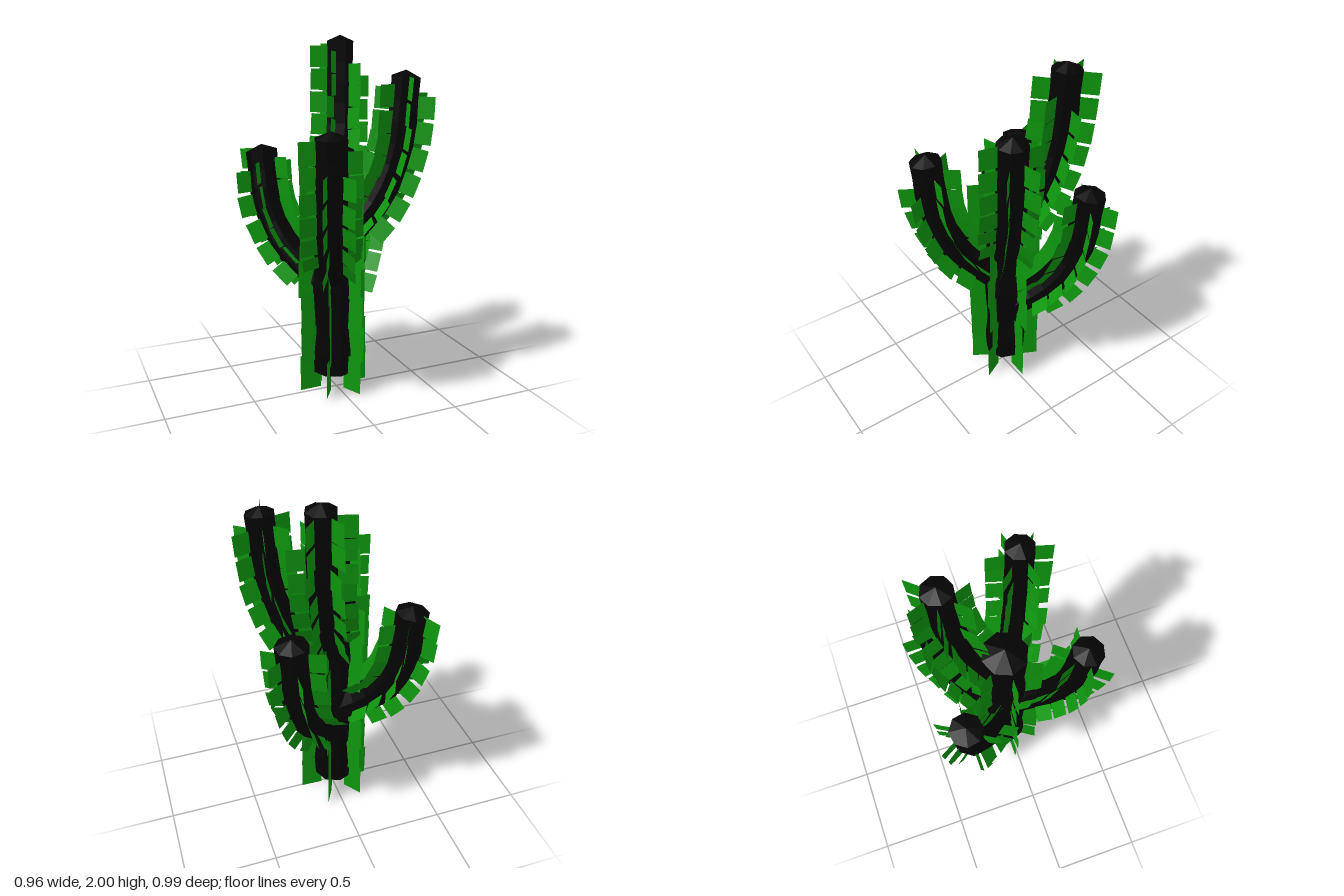
import * as THREE from 'three';
import { mergeGeometries } from 'three/addons/utils/BufferGeometryUtils.js';

const SIDES = 8, RIBS = 6;
const BASE = new THREE.Vector3(-0.01, 0, -0.02);
const UP = new THREE.Vector3(0, 1, 0);

const bodyMat = new THREE.MeshStandardMaterial({ color: 0x030403, flatShading: true });
const spineMat = new THREE.MeshStandardMaterial({ color: 0x0e960e, side: THREE.DoubleSide });

let seed = 7;
function jitter(a) {
  seed = (seed * 16807) % 2147483647;
  return (seed / 2147483647 - 0.5) * 2 * a;
}

// Frame of a stalk that bends within the vertical plane of direction d
function frameAt(curve, u, d, s) {
  const p = curve.getPointAt(u), t = curve.getTangentAt(u);
  const n = d.clone().multiplyScalar(t.dot(UP)).addScaledVector(UP, -t.dot(d)).normalize();
  const around = a => n.clone().multiplyScalar(Math.cos(a)).addScaledVector(s, Math.sin(a));
  return { p, t, around };
}

// Faceted stem with a low pointed cap and a closed bottom
function stemGeometry(curve, d, s, o) {
  const pos = [], idx = [];
  for (let i = 0; i <= o.rings; i++) {
    const f = frameAt(curve, i / o.rings, d, s);
    const r = o.radius * (1 + o.lump * Math.sin(i * 2.1));
    for (let k = 0; k < SIDES; k++) {
      const v = f.around((k / SIDES) * Math.PI * 2 + o.offset).multiplyScalar(r).add(f.p);
      pos.push(v.x, v.y, v.z);
    }
  }
  for (let i = 0; i < o.rings; i++) {
    for (let k = 0; k < SIDES; k++) {
      const a = i * SIDES + k, b = i * SIDES + (k + 1) % SIDES;
      idx.push(a, a + SIDES, b, b, a + SIDES, b + SIDES);
    }
  }
  const start = curve.getPointAt(0), end = curve.getPointAt(1);
  const bottom = pos.length / 3, tip = bottom + 1, last = o.rings * SIDES;
  pos.push(start.x, start.y, start.z, end.x, end.y + o.cap, end.z);
  for (let k = 0; k < SIDES; k++) {
    const k2 = (k + 1) % SIDES;
    idx.push(bottom, k, k2, tip, last + k2, last + k);
  }
  const g = new THREE.BufferGeometry();
  g.setAttribute('position', new THREE.Float32BufferAttribute(pos, 3));
  g.setIndex(idx);
  g.computeVertexNormals();
  return g;
}

// Rows of flat spine panels standing out from the ribs, each row starting
// its own gap below the tip and running down to the low mark
function spineGeometry(curve, d, s, o) {
  const length = curve.getLength(), panels = [];
  for (let k = 0; k < RIBS; k++) {
    const a = (k / RIBS) * Math.PI * 2 + o.offset;
    for (let at = length - o.gaps[k]; at >= o.low; at -= o.step) {
      const here = Math.max(at + jitter(0.006), 0.005);
      const f = frameAt(curve, here / length, d, s);
      const out = f.around(a + jitter(0.08));
      const side = new THREE.Vector3().crossVectors(out, f.t);
      const m = new THREE.Matrix4().makeBasis(out, f.t, side);
      m.setPosition(f.p.clone().addScaledVector(out, (o.inner + o.outer) / 2 + jitter(0.004)));
      const g = new THREE.PlaneGeometry(o.outer - o.inner, o.height);
      g.rotateZ(jitter(0.03)).applyMatrix4(m);
      panels.push(g);
    }
  }
  return mergeGeometries(panels);
}

function stalk(name, curve, d, o) {
  const s = new THREE.Vector3(-d.z, 0, d.x);
  const group = new THREE.Group();
  group.name = name;
  const stem = new THREE.Mesh(stemGeometry(curve, d, s, o), bodyMat);
  stem.name = name + 'Stem';
  const spines = new THREE.Mesh(spineGeometry(curve, d, s, o), spineMat);
  spines.name = name + 'Spines';
  group.add(stem, spines);
  return group;
}

// Arm that leaves the trunk at y0 and sweeps upright to its tip
const SWEEP = [[0, 0], [0.35, 0.14], [0.68, 0.33], [0.91, 0.6], [1, 1]];
function arm(name, x, z, y0, y1, radius, gaps) {
  const cap = 0.035;
  const reach = new THREE.Vector3(x, 0, z).sub(BASE);
  const rise = y1 - cap - y0;
  const curve = new THREE.CatmullRomCurve3(SWEEP.map(([r, h]) =>
    BASE.clone().addScaledVector(reach, r).addScaledVector(UP, y0 + h * rise)));
  return stalk(name, curve, reach.normalize(), {
    radius, cap, gaps, rings: 9, lump: 0.03, offset: 0.23,
    low: 0.18, step: 0.13, height: 0.118, inner: 0.065, outer: 0.168,
  });
}

export function createModel() {
  const model = new THREE.Group();
  model.name = 'cactus';

  // Trunk, whose lowest spines reach the ground
  const trunkCurve = new THREE.LineCurve3(
    BASE.clone().setY(0.1), BASE.clone().setY(1.385));
  model.add(stalk('trunk', trunkCurve, new THREE.Vector3(1, 0, 0), {
    radius: 0.118, cap: 0.055, rings: 10, lump: 0.07, offset: 0,
    gaps: Array(RIBS).fill(0.17), low: 0, step: 0.185, height: 0.21, inner: 0.08, outer: 0.203,
  }));

  // Five arms, each with the gaps above its six spine rows
  model.add(
    arm('backRightArm', -0.32, -0.33, 0.6, 1.4, 0.089, [0.05, 0.06, 0.13, 0.1, 0.12, 0.165]),
    arm('tallBackArm', 0.145, -0.28, 0.98, 2.0, 0.079, [0.075, 0.25, 0.18, 0.12, 0.085, 0.065]),
    arm('backLeftArm', 0.32, -0.335, 0.44, 1.34, 0.087, [0.115, 0.12, 0.085, 0.13, 0.1, 0.2]),
    arm('frontLeftArm', 0.325, 0.175, 0.84, 1.82, 0.079, [0.15, 0.055, 0.105, 0.12, 0.115, 0.145]),
    arm('frontRightArm', -0.18, 0.355, 0.66, 1.54, 0.085, [0.225, 0.065, 0.1, 0.12, 0.13, 0.235]),
  );
  return model;
}
